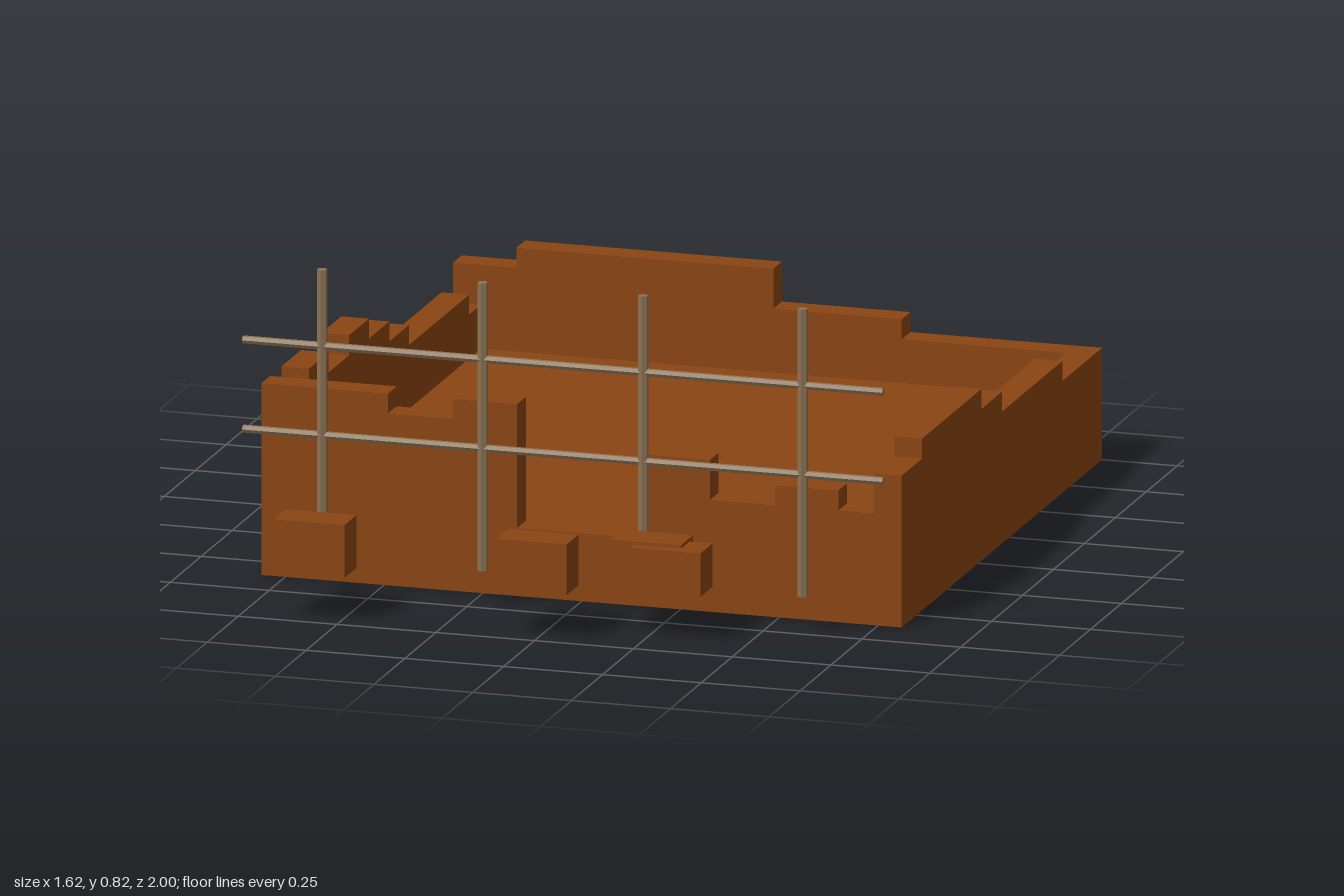
import * as THREE from 'three';

const W = 0.81, T = 0.07, BACK = -1, FRONT = 0.62, FLOOR = 0.17;

// Broken wall profile: steps are [end position, height], starting from `start`.
function steppedWall(start, steps) {
  const s = new THREE.Shape();
  s.moveTo(start, FLOOR);
  let from = start;
  for (const [end, h] of steps) {
    s.lineTo(from, h);
    s.lineTo(end, h);
    from = end;
  }
  s.lineTo(from, FLOOR);
  s.closePath();
  return new THREE.ExtrudeGeometry(s, { depth: T, bevelEnabled: false });
}

export function createModel() {
  const group = new THREE.Group();
  group.name = 'ruinedHouse';

  const clay = new THREE.MeshStandardMaterial({ color: 0x8b4513 });
  clay.name = 'clayBrown';
  const wood = new THREE.MeshStandardMaterial({ color: 0x8b7355, flatShading: true });
  wood.name = 'weatheredWood';

  const add = (name, geometry, material, x = 0, y = 0, z = 0) => {
    const mesh = new THREE.Mesh(geometry, material);
    mesh.name = name;
    mesh.position.set(x, y, z);
    group.add(mesh);
    return mesh;
  };

  // Solid floor
  add('floor', new THREE.BoxGeometry(2 * W, FLOOR, FRONT - BACK), clay, 0, FLOOR / 2, (FRONT + BACK) / 2);

  // Front wall, either side of the doorway
  add('frontWallRight', steppedWall(-W, [[-0.49, 0.48], [-0.325, 0.43], [-0.163, 0.48]]), clay, 0, 0, FRONT - T);
  add('frontWallLeft', steppedWall(0.163, [[0.325, 0.38], [0.49, 0.28], [0.65, 0.33], [W - T, 0.28]]), clay, 0, 0, FRONT - T);

  // Back wall
  add('backWall', steppedWall(-W, [[-0.65, 0.38], [0, 0.43], [0.325, 0.33], [W, 0.28]]), clay, 0, 0, BACK);

  // Side walls, crumbling towards the back
  const leftSide = steppedWall(BACK + T, [[-0.68, 0.28], [-0.19, 0.33], [-0.025, 0.38], [0.455, 0.43], [FRONT, 0.38]]);
  add('leftWall', leftSide.rotateY(-Math.PI / 2), clay, W);
  const rightSide = steppedWall(BACK + T, [[-0.835, 0.28], [-0.35, 0.33], [-0.19, 0.38], [-0.025, 0.43],
    [0.135, 0.48], [0.3, 0.43], [0.46, 0.48], [FRONT - T, 0.43]]);
  add('rightWall', rightSide.rotateY(-Math.PI / 2), clay, T - W);

  // Fallen blocks in front: x, top, z
  for (const [x, top, z] of [[-0.57, 0.25, 0.951], [-0.01, 0.245, 0.944], [0.245, 0.235, 0.833], [0.303, 0.227, 0.863]]) {
    const h = top - 0.118;
    add('fallenBlock', new THREE.BoxGeometry(0.178, h, 0.097), clay, x, 0.118 + h / 2, z);
  }

  // Scaffold posts and rails
  const z = 0.768;
  for (const x of [-0.61, -0.204, 0.202, 0.606]) {
    add('scaffoldPost', new THREE.CylinderGeometry(0.013, 0.013, 0.72, 6), wood, x, 0.46, z);
  }
  for (const y of [0.405, 0.628]) {
    const rail = new THREE.CylinderGeometry(0.01, 0.01, 2 * W, 6).rotateZ(Math.PI / 2);
    add('scaffoldRail', rail, wood, 0, y, z);
  }
  return group;
}
